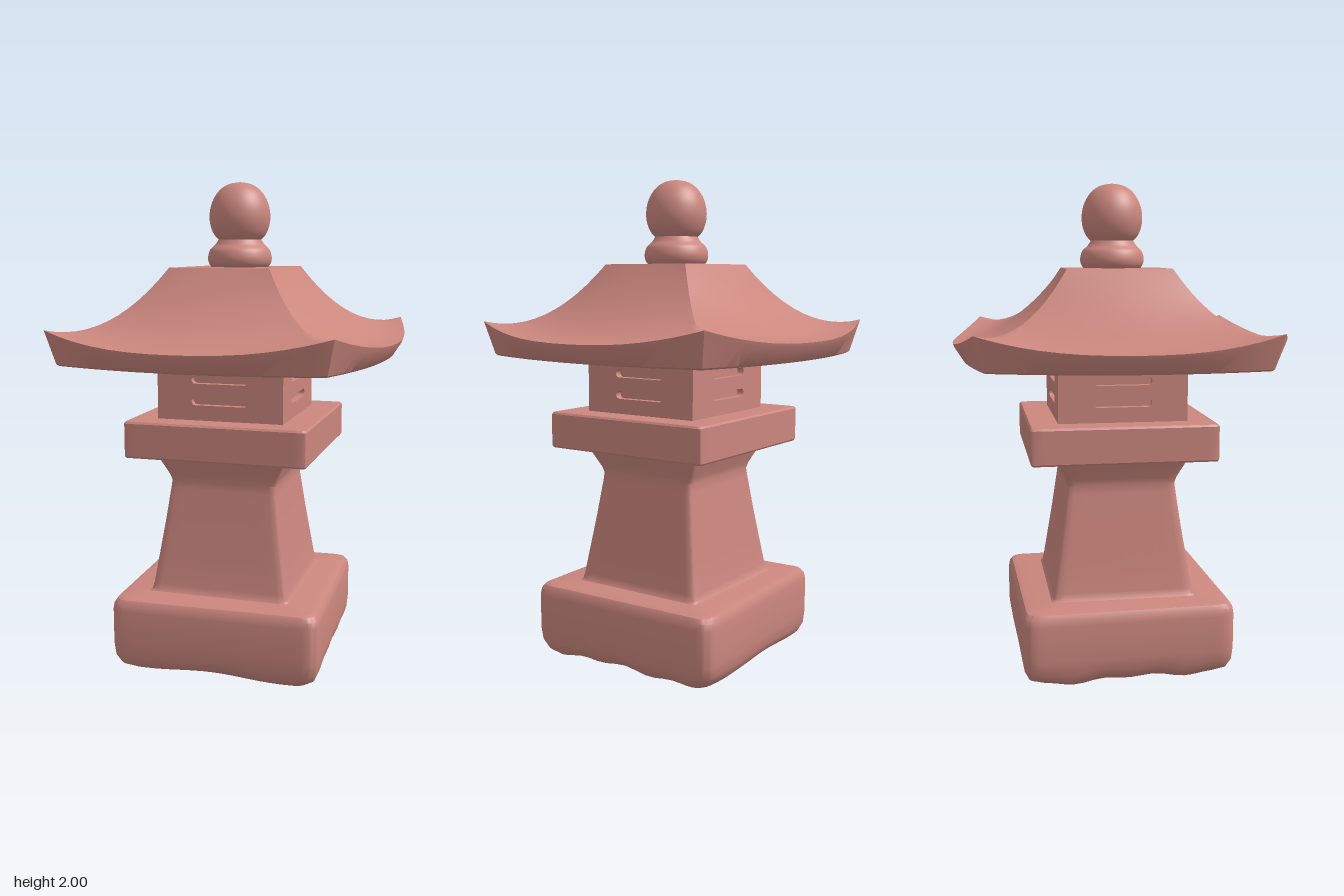
import * as THREE from 'three';
import { toCreasedNormals } from 'three/addons/utils/BufferGeometryUtils.js';

const stone = new THREE.MeshStandardMaterial({ color: 0xcb877e });
stone.name = 'rose stone';

// Loft through square sections, corners on the axes. Each row runs bottom to top:
// r = corner radius, y = height, bulge = outward bow of the sides, lift = extra height at corners.
function squareLoft(rows, { round = 0, n = 12, warp } = {}) {
  const pos = [], idx = [], cols = 4 * n;
  for (const { r, y, bulge = 0, lift = 0 } of rows) {
    const a = r / Math.SQRT2, c = Math.min(round, a);
    for (let i = 0; i <= cols; i++) {
      const side = Math.floor(i / n) % 4;
      const u = -Math.cos((Math.PI * (i % n)) / n);
      let px = a * u, pz = a;
      if (c > 0) {
        const qx = Math.max(-(a - c), Math.min(a - c, px)), dx = px - qx;
        const len = Math.hypot(dx, c);
        px = qx + (dx / len) * c;
        pz = a - c + (c / len) * c;
      }
      pz += bulge * (1 - u * u);
      const phi = (side + 0.5) * Math.PI / 2;
      const v = new THREE.Vector3(
        px * Math.cos(phi) + pz * Math.sin(phi),
        y + lift * Math.abs(u) ** 2.5,
        -px * Math.sin(phi) + pz * Math.cos(phi));
      if (warp) warp(v);
      pos.push(v.x, v.y, v.z);
    }
  }
  const w = cols + 1;
  for (let k = 0; k < rows.length - 1; k++)
    for (let i = 0; i < cols; i++) {
      const p = k * w + i, q = p + w;
      idx.push(p, p + 1, q + 1, p, q + 1, q);
    }
  const g = new THREE.BufferGeometry();
  g.setAttribute('position', new THREE.Float32BufferAttribute(pos, 3));
  g.setIndex(idx);
  return toCreasedNormals(g, 0.6);
}

const rowsOf = (pairs) => pairs.map(([r, y]) => ({ r, y }));

export function createModel() {
  const model = new THREE.Group();
  const add = (name, geometry, turn = 0, x = 0.008) => {
    const mesh = new THREE.Mesh(geometry, stone);
    mesh.name = name;
    mesh.rotation.y = THREE.MathUtils.degToRad(turn);
    mesh.position.x = x;
    model.add(mesh);
    return mesh;
  };

  // Base block with a roughly hewn underside
  const hewn = (v) => {
    if (v.y > 0.13) return;
    const k = Math.min(1, (0.13 - v.y) / 0.06);
    v.y += k * (0.012 * Math.sin(9 * v.x + 2) * Math.cos(8 * v.z) + 0.006 * Math.sin(23 * v.x - 17 * v.z));
    v.y = Math.max(0, v.y);
  };
  add('base', squareLoft(rowsOf([
    [0.001, 0.012], [0.12, 0.012], [0.24, 0.014], [0.36, 0.018], [0.46, 0.024], [0.53, 0.036],
    [0.575, 0.058], [0.597, 0.09], [0.604, 0.14], [0.604, 0.285],
    [0.598, 0.312], [0.582, 0.329], [0.555, 0.335], [0.001, 0.335],
  ]), { round: 0.05, n: 24, warp: hewn }), 7);

  // Tapering pillar that flares under the platform
  add('pillar', squareLoft(rowsOf([
    [0.425, 0.33], [0.408, 0.342], [0.4, 0.365], [0.375, 0.48], [0.345, 0.62], [0.318, 0.76],
    [0.312, 0.795], [0.322, 0.82], [0.385, 0.915],
  ]), { round: 0.015 }), 5.5, 0.006);

  // Platform
  add('platform', squareLoft(rowsOf([
    [0.001, 0.91], [0.52, 0.91], [0.527, 0.917], [0.527, 1.05], [0.518, 1.058], [0.001, 1.058],
  ]), { round: 0.012 }), 5.5, 0.012);

  // Lamp chamber: four slotted panels around a core
  const chamber = new THREE.Group();
  chamber.name = 'lampChamber';
  chamber.rotation.y = THREE.MathUtils.degToRad(5.5);
  chamber.position.x = 0.006;
  model.add(chamber);
  const half = 0.26, depth = 0.03;
  const panel = new THREE.Shape([
    new THREE.Vector2(-half, 1.05), new THREE.Vector2(half, 1.05),
    new THREE.Vector2(half, 1.3), new THREE.Vector2(-half, 1.3),
  ]);
  for (const y of [1.135, 1.222]) {
    const slot = new THREE.Path(), r = 0.016, l = 0.1;
    slot.absarc(l, y, r, -Math.PI / 2, Math.PI / 2);
    slot.absarc(-l, y, r, Math.PI / 2, Math.PI * 1.5);
    slot.closePath();
    panel.holes.push(slot);
  }
  const panelGeometry = new THREE.ExtrudeGeometry(panel, { depth, bevelEnabled: false, curveSegments: 8 });
  panelGeometry.translate(0, 0, half - depth);
  for (let i = 0; i < 4; i++) {
    const wall = new THREE.Mesh(panelGeometry, stone);
    wall.name = 'slottedPanel';
    wall.rotation.y = (i + 0.5) * Math.PI / 2;
    chamber.add(wall);
  }
  const core = new THREE.Mesh(new THREE.BoxGeometry(2 * (half - depth), 0.24, 2 * (half - depth)), stone);
  core.name = 'chamberCore';
  core.position.y = 1.175;
  core.rotation.y = Math.PI / 4;
  chamber.add(core);

  // Sweeping roof with bowed eaves and upturned corners
  const roofRows = [
    { r: 0.001, y: 1.29 },
    { r: 0.758, y: 1.29, bulge: 0.085 },
    { r: 0.77, y: 1.297, bulge: 0.09 },
    { r: 0.808, y: 1.35, bulge: 0.1, lift: 0.06 },
  ];
  for (let k = 12; k >= 0; k--) {
    const t = k / 12, sag = 0.065 * t * t;
    roofRows.push({
      r: 0.3 + 0.515 * t, y: 1.66 - 0.583 * t + 0.353 * t * t - sag,
      bulge: 0.1 * t, lift: sag,
    });
  }
  roofRows.push({ r: 0.001, y: 1.662 });
  const roof = add('roof', squareLoft(roofRows, { n: 20 }), 2.2, 0.002);
  roof.scale.z = 0.97;

  // Finial: collar and egg-shaped jewel
  const lathe = (pts) => new THREE.LatheGeometry(
    new THREE.SplineCurve(pts.map(([x, y]) => new THREE.Vector2(x, y))).getPoints(32), 48);
  add('finialCollar', lathe([
    [0.112, 1.655], [0.127, 1.675], [0.131, 1.7], [0.122, 1.73], [0.1, 1.752], [0.085, 1.775],
  ]), 0, 0.015);
  add('finialJewel', lathe([
    [0.075, 1.76], [0.108, 1.795], [0.124, 1.85], [0.117, 1.91], [0.09, 1.96], [0.05, 1.99], [0, 2],
  ]), 0, 0.015);

  return model;
}
